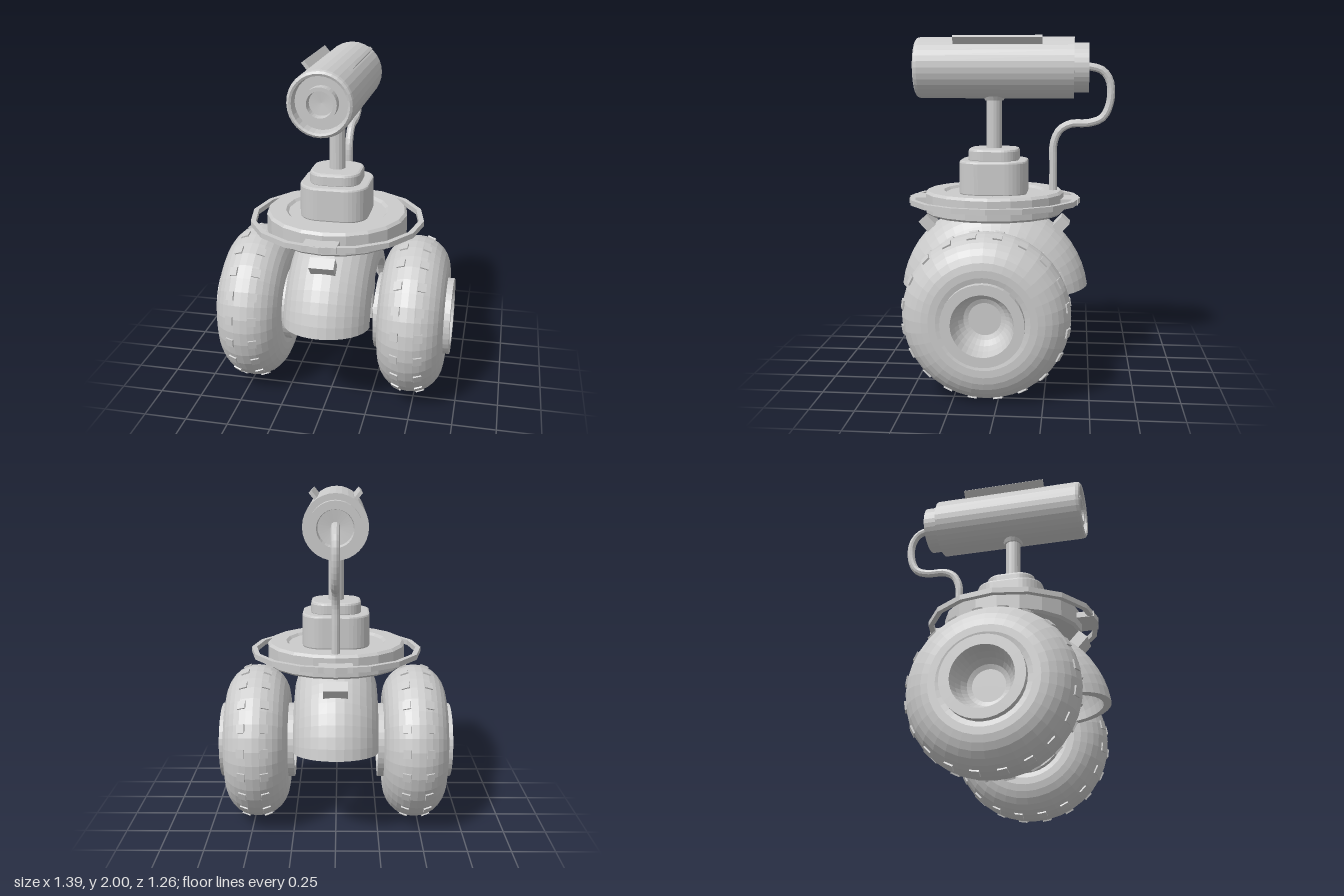
import * as THREE from 'three';

const MID_Z = 0.07;   // z of the wheel axis and of the turret axis
const AXLE_Y = 0.475; // height of the wheel axis

const grey = new THREE.MeshStandardMaterial({ color: 0xcccccc, flatShading: true });
const greyBoth = new THREE.MeshStandardMaterial({ color: 0xcccccc, flatShading: true, side: THREE.DoubleSide });

const vec = (list) => list.map(([r, h]) => new THREE.Vector2(r, h));

function add(parent, name, geometry, x = 0, y = 0, z = 0, material = grey) {
  const mesh = new THREE.Mesh(geometry, material);
  mesh.name = name;
  mesh.position.set(x, y, z);
  parent.add(mesh);
  return mesh;
}

// Points on an arc around (r, h), from angle a to angle b
function arc(r, h, radius, a, b, steps) {
  return Array.from({ length: steps + 1 }, (_, i) => {
    const t = a + ((b - a) * i) / steps;
    return [r + radius * Math.cos(t), h + radius * Math.sin(t)];
  });
}

// Rounded square slab standing on y = 0
function roundedSlab(half, corner, height, bevel) {
  const s = new THREE.Shape();
  const h = half - bevel;
  const c = h - corner;
  s.absarc(c, c, corner, 0, Math.PI / 2);
  s.absarc(-c, c, corner, Math.PI / 2, Math.PI);
  s.absarc(-c, -c, corner, Math.PI, Math.PI * 1.5);
  s.absarc(c, -c, corner, Math.PI * 1.5, Math.PI * 2);
  return new THREE.ExtrudeGeometry(s, {
    depth: height - 2 * bevel, bevelEnabled: true, bevelSize: bevel,
    bevelThickness: bevel, bevelSegments: 2, curveSegments: 4,
  }).translate(0, 0, bevel).rotateX(-Math.PI / 2);
}

function makeWheel(side) {
  const wheel = new THREE.Group();
  wheel.name = side > 0 ? 'leftWheel' : 'rightWheel';
  wheel.position.set(side * 0.475, AXLE_Y, MID_Z);

  // Balloon tyre
  const tyre = [[0.2, -0.17], ...arc(0.277, 0, 0.19, -1.9, 1.9, 18), [0.2, 0.17]];
  add(wheel, 'tyre', new THREE.LatheGeometry(vec(tyre), 36).rotateZ(-Math.PI / 2));

  // Rim with a deep dish on both faces
  const half = [[0, 0.08], [0.09, 0.08], [0.115, 0.09], [0.14, 0.12], [0.157, 0.16], [0.17, 0.222], [0.226, 0.222]];
  const rim = [...half.map(([r, h]) => [r, -h]), ...half.slice().reverse()];
  add(wheel, 'rim', new THREE.LatheGeometry(vec(rim), 36).rotateZ(-Math.PI / 2));

  // Two rows of shallow tread blocks
  const block = new THREE.BoxGeometry(0.048, 0.024, 0.05);
  const lean = 0.36;
  for (let i = 0; i < 20; i++) {
    for (const row of [-1, 1]) {
      const spoke = new THREE.Group();
      spoke.rotation.x = ((i + 0.5) / 20) * Math.PI * 2;
      const b = add(spoke, 'treadBlock', block, row * 0.184 * Math.sin(lean), 0.277 + 0.184 * Math.cos(lean), 0);
      b.rotation.z = -row * lean;
      wheel.add(spoke);
    }
  }
  return wheel;
}

function makeFender() {
  const fender = new THREE.Group();
  fender.name = 'fender';
  fender.position.set(0, AXLE_Y, MID_Z);
  const h = Math.PI / 2;
  const outline = vec([...arc(0.31, 0, 0.25, -h, h, 16), ...arc(0.31, 0, 0.205, h, -h, 16)]);
  const start = Math.PI + 0.12;
  const sweep = Math.PI - 0.24;
  const shell = new THREE.LatheGeometry([...outline, outline[0]], 24, start, sweep);
  add(fender, 'fenderShell', shell.rotateZ(-h), 0, 0, 0, greyBoth);
  for (const phi of [start, start + sweep]) {
    const cap = new THREE.ShapeGeometry(new THREE.Shape(outline)).rotateY(phi - h).rotateZ(-h);
    add(fender, 'fenderEnd', cap, 0, 0, 0, greyBoth);
  }
  // Stub lamps pointing out at front and back
  for (const s of [-1, 1]) {
    const a = 0.83;
    const lamp = add(fender, 'stubLamp', new THREE.BoxGeometry(0.14, 0.16, 0.065),
      0, 0.55 * Math.sin(a), s * 0.55 * Math.cos(a));
    lamp.rotation.x = s * (Math.PI / 2 - a);
  }
  return fender;
}

function makeCamera() {
  const cam = new THREE.Group();
  cam.name = 'cameraHead';
  cam.position.set(0, 1.823, 0);
  const alongZ = (pts, n = 32) => new THREE.LatheGeometry(vec(pts), n).rotateX(Math.PI / 2);

  // Barrel with a recessed front face
  add(cam, 'barrel', alongZ([[0, -0.395], [0.177, -0.395], [0.177, 0.5], [0.172, 0.517], [0.16, 0.525],
    [0.148, 0.52], [0.143, 0.46], [0, 0.46]]));
  // Lens tube and the lens inside it
  add(cam, 'lensTube', alongZ([[0.09, 0.45], [0.09, 0.515], [0.07, 0.515], [0.066, 0.47], [0, 0.465]]));
  // Hollow rear cap
  add(cam, 'rearCap', alongZ([[0, -0.41], [0.095, -0.42], [0.1, -0.48], [0.143, -0.48], [0.143, -0.39]]));
  // Pair of fins leaning outwards
  for (const s of [-1, 1]) {
    const fin = add(cam, 'fin', new THREE.BoxGeometry(0.02, 0.07, 0.51), s * 0.118, 0.147, 0.04);
    fin.rotation.z = -s * 0.68;
  }
  return cam;
}

export function createModel() {
  const model = new THREE.Group();
  model.name = 'wheeledCameraRobot';
  model.add(makeWheel(1), makeWheel(-1), makeFender(), makeCamera());

  // Axle with a centre disc and two hangers
  const rod = (r, len, n) => new THREE.CylinderGeometry(r, r, len, n).rotateZ(Math.PI / 2);
  add(model, 'axle', rod(0.035, 0.84, 16), 0, AXLE_Y, MID_Z);
  add(model, 'axleDisc', rod(0.105, 0.055, 20), 0, AXLE_Y, MID_Z);
  for (const s of [-1, 1]) {
    add(model, 'hanger', new THREE.BoxGeometry(0.02, 0.4, 0.08), s * 0.212, 0.63, MID_Z);
  }

  // Round deck with a shallow sunken top
  const deck = [[0, 0.972], [0.395, 0.972], [0.41, 0.985], [0.41, 1.095], [0.395, 1.11], [0.3, 1.11], [0.285, 1.095], [0, 1.095]];
  add(model, 'deck', new THREE.LatheGeometry(vec(deck), 20), 0, 0, MID_Z);

  // Bumper hoop and its front and back brackets
  const hoop = [[0.478, 1.035], [0.508, 1.035], [0.508, 1.066], [0.478, 1.066], [0.478, 1.035]];
  add(model, 'bumperHoop', new THREE.LatheGeometry(vec(hoop), 16), 0, 0, MID_Z);
  for (const s of [-1, 1]) {
    add(model, 'bumperBracket', new THREE.BoxGeometry(0.19, 0.034, 0.12), 0, 1.05, MID_Z + s * 0.435);
  }

  // Turret: two rounded blocks, mast and collar
  add(model, 'turretBase', roundedSlab(0.198, 0.11, 0.2, 0.012), 0, 1.09, MID_Z);
  add(model, 'turretCap', roundedSlab(0.147, 0.08, 0.08, 0.015), 0, 1.278, MID_Z);
  add(model, 'mast', new THREE.CylinderGeometry(0.046, 0.046, 0.33, 16), 0, 1.51, MID_Z);
  add(model, 'mastCollar', new THREE.CylinderGeometry(0.07, 0.055, 0.03, 16), 0, 1.65, MID_Z);

  // Cable from the back of the camera down to the deck
  const path = [[1.83, -0.4], [1.828, -0.49], [1.805, -0.56], [1.74, -0.602], [1.62, -0.602], [1.535, -0.56],
    [1.505, -0.48], [1.5, -0.38], [1.465, -0.315], [1.39, -0.28], [1.25, -0.278], [1.09, -0.278]];
  const curve = new THREE.CatmullRomCurve3(path.map(([y, z]) => new THREE.Vector3(0, y, z)));
  add(model, 'cable', new THREE.TubeGeometry(curve, 36, 0.024, 10));

  return model;
}
